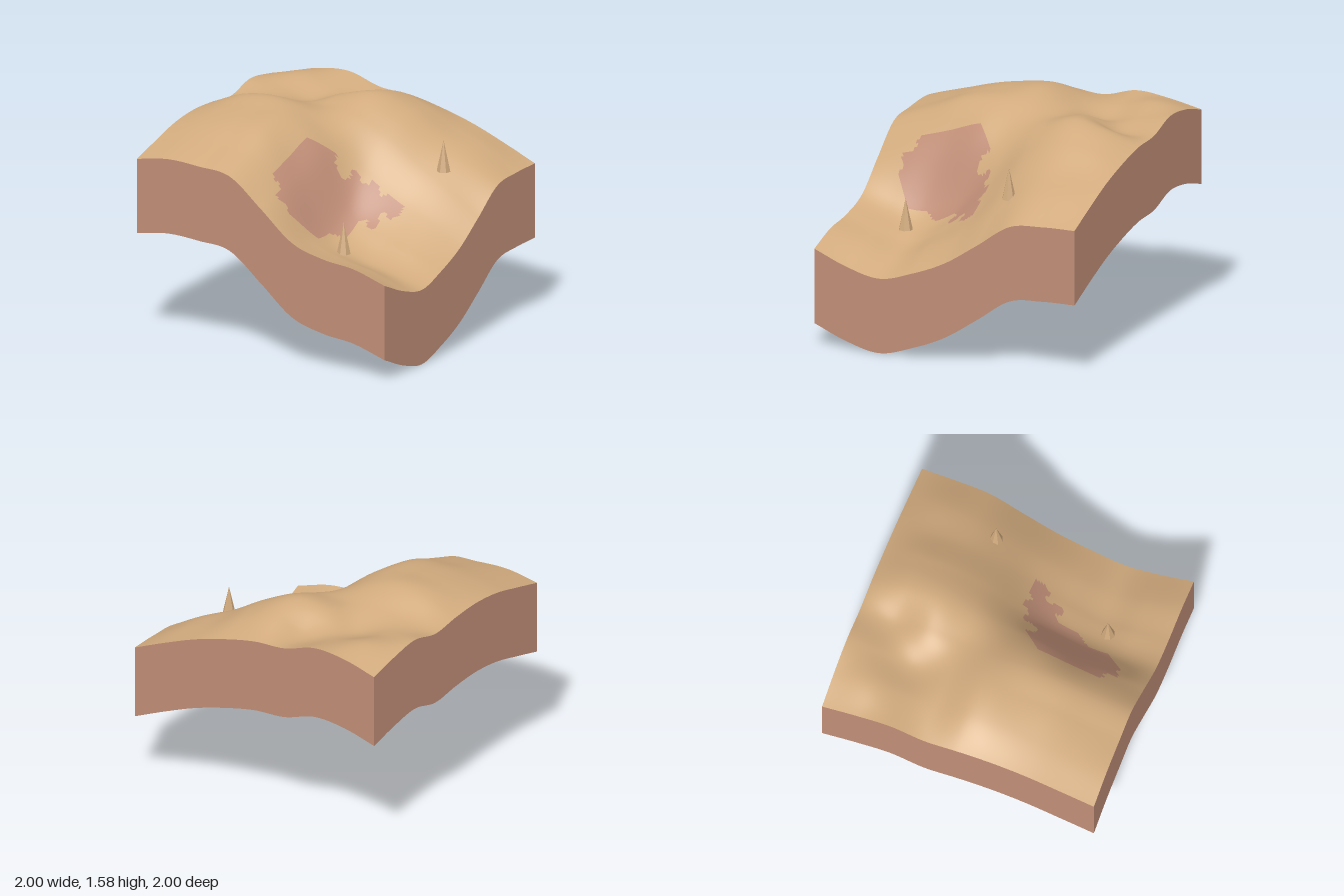
import * as THREE from 'three';

// Heights on a coarse 9 x 9 grid; rows run from back (z = -1) to front (z = 1)
const HEIGHTS = [
  [1.425, 1.49, 1.505, 1.43, 1.41, 1.355, 1.28, 1.18, 1.07],
  [1.475, 1.515, 1.46, 1.42, 1.505, 1.44, 1.31, 1.21, 1.065],
  [1.50, 1.47, 1.42, 1.51, 1.55, 1.45, 1.30, 1.18, 1.035],
  [1.44, 1.47, 1.485, 1.487, 1.47, 1.34, 1.18, 1.04, 0.87],
  [1.46, 1.555, 1.575, 1.515, 1.37, 1.13, 0.97, 0.86, 0.71],
  [1.465, 1.535, 1.55, 1.515, 1.32, 0.93, 0.80, 0.72, 0.605],
  [1.435, 1.485, 1.505, 1.47, 1.22, 0.83, 0.69, 0.62, 0.537],
  [1.37, 1.41, 1.41, 1.375, 1.16, 0.84, 0.745, 0.69, 0.59],
  [1.30, 1.335, 1.32, 1.285, 1.09, 0.885, 0.805, 0.77, 0.69],
];
const WALL_DEPTH = 0.535;
const CELLS = 96;

// Outline of the bare patch on the slope, as x, z pairs
const PATCH = [
  [-0.08, 0.25], [0.07, 0.10], [0.08, 0.15], [0.12, 0.17], [0.16, 0.15], [0.18, 0.10], [0.16, 0.06],
  [0.20, 0.04], [0.25, 0.06], [0.29, 0.04], [0.29, 0], [0.35, 0], [0.39, 0.04], [0.43, 0],
  [0.55, 0], [0.55, 0.07], [0.51, 0.13], [0.46, 0.10], [0.43, 0.14], [0.47, 0.18], [0.45, 0.24],
  [0.40, 0.25], [0.38, 0.21], [0.33, 0.25], [0.33, 0.40], [0.25, 0.50], [0.25, 0.645],
  [0.10, 0.80], [0.07, 0.77], [0.03, 0.80], [0, 0.80], [0, 0.73], [-0.03, 0.71], [-0.06, 0.73], [-0.08, 0.70],
];

// Smooth curve through a row of values
function spline(values, u) {
  const last = values.length - 1;
  const i = Math.min(Math.floor(u), last - 1);
  const t = u - i;
  const b = values[i], c = values[i + 1];
  const a = i > 0 ? values[i - 1] : 2 * b - c;
  const d = i + 2 <= last ? values[i + 2] : 2 * c - b;
  return b + 0.5 * t * (c - a + t * (2 * a - 5 * b + 4 * c - d + t * (3 * (b - c) + d - a)));
}

function heightAt(x, z) {
  return spline(HEIGHTS.map((row) => spline(row, (x + 1) * 4)), (z + 1) * 4);
}

function insidePatch(x, z) {
  let inside = false;
  PATCH.forEach(([ax, az], i) => {
    const [bx, bz] = PATCH[(i + 1) % PATCH.length];
    if ((az > z) !== (bz > z) && x < ax + ((z - az) * (bx - ax)) / (bz - az)) inside = !inside;
  });
  return inside;
}

// Ground surface with two groups: soil and bare patch
function groundGeometry() {
  const geometry = new THREE.PlaneGeometry(2, 2, CELLS, CELLS).rotateX(-Math.PI / 2);
  const p = geometry.attributes.position;
  for (let i = 0; i < p.count; i++) p.setY(i, heightAt(p.getX(i), p.getZ(i)));
  const soil = [], patch = [];
  const index = geometry.index.array;
  for (let i = 0; i < index.length; i += 3) {
    const tri = [index[i], index[i + 1], index[i + 2]];
    const cx = tri.reduce((sum, v) => sum + p.getX(v), 0) / 3;
    const cz = tri.reduce((sum, v) => sum + p.getZ(v), 0) / 3;
    (insidePatch(cx, cz) ? patch : soil).push(...tri);
  }
  geometry.setIndex(soil.concat(patch));
  geometry.clearGroups();
  geometry.addGroup(0, soil.length, 0);
  geometry.addGroup(soil.length, patch.length, 1);
  geometry.computeVertexNormals();
  return geometry;
}

// Side wall that hangs from one edge of the ground; runs from a to b
function wallGeometry([ax, az], [bx, bz]) {
  const positions = [], index = [];
  for (let i = 0; i <= CELLS; i++) {
    const t = i / CELLS;
    const x = ax + (bx - ax) * t, z = az + (bz - az) * t;
    const y = heightAt(x, z);
    positions.push(x, Math.max(0, y - WALL_DEPTH), z, x, y, z);
    if (i < CELLS) {
      const k = 2 * i;
      index.push(k, k + 2, k + 3, k, k + 3, k + 1);
    }
  }
  const geometry = new THREE.BufferGeometry();
  geometry.setAttribute('position', new THREE.Float32BufferAttribute(positions, 3));
  geometry.setIndex(index);
  geometry.computeVertexNormals();
  return geometry;
}

export function createModel() {
  const sand = new THREE.MeshStandardMaterial({ color: 0xd2ab7e, side: THREE.DoubleSide });
  sand.name = 'sand';
  const clay = new THREE.MeshStandardMaterial({ color: 0xc08e77, side: THREE.DoubleSide });
  clay.name = 'clay';

  const model = new THREE.Group();
  model.name = 'terrainBlock';
  const add = (name, geometry, material) => {
    const mesh = new THREE.Mesh(geometry, material);
    mesh.name = name;
    model.add(mesh);
    return mesh;
  };

  add('ground', groundGeometry(), [sand, clay]);

  // Four walls, open underneath
  const corners = [[-1, 1], [1, 1], [1, -1], [-1, -1]];
  ['frontWall', 'leftWall', 'backWall', 'rightWall'].forEach((name, i) => {
    add(name, wallGeometry(corners[i], corners[(i + 1) % 4]), clay);
  });

  // Two faceted spikes standing on the ground
  const spike = new THREE.ConeGeometry(0.05, 0.225, 7).toNonIndexed();
  spike.computeVertexNormals();
  [[0.667, 1.13, -0.333], [0.417, 0.73, 0.583]].forEach(([x, y, z]) => {
    add('spike', spike, sand).position.set(x, y + 0.1125, z);
  });

  return model;
}
